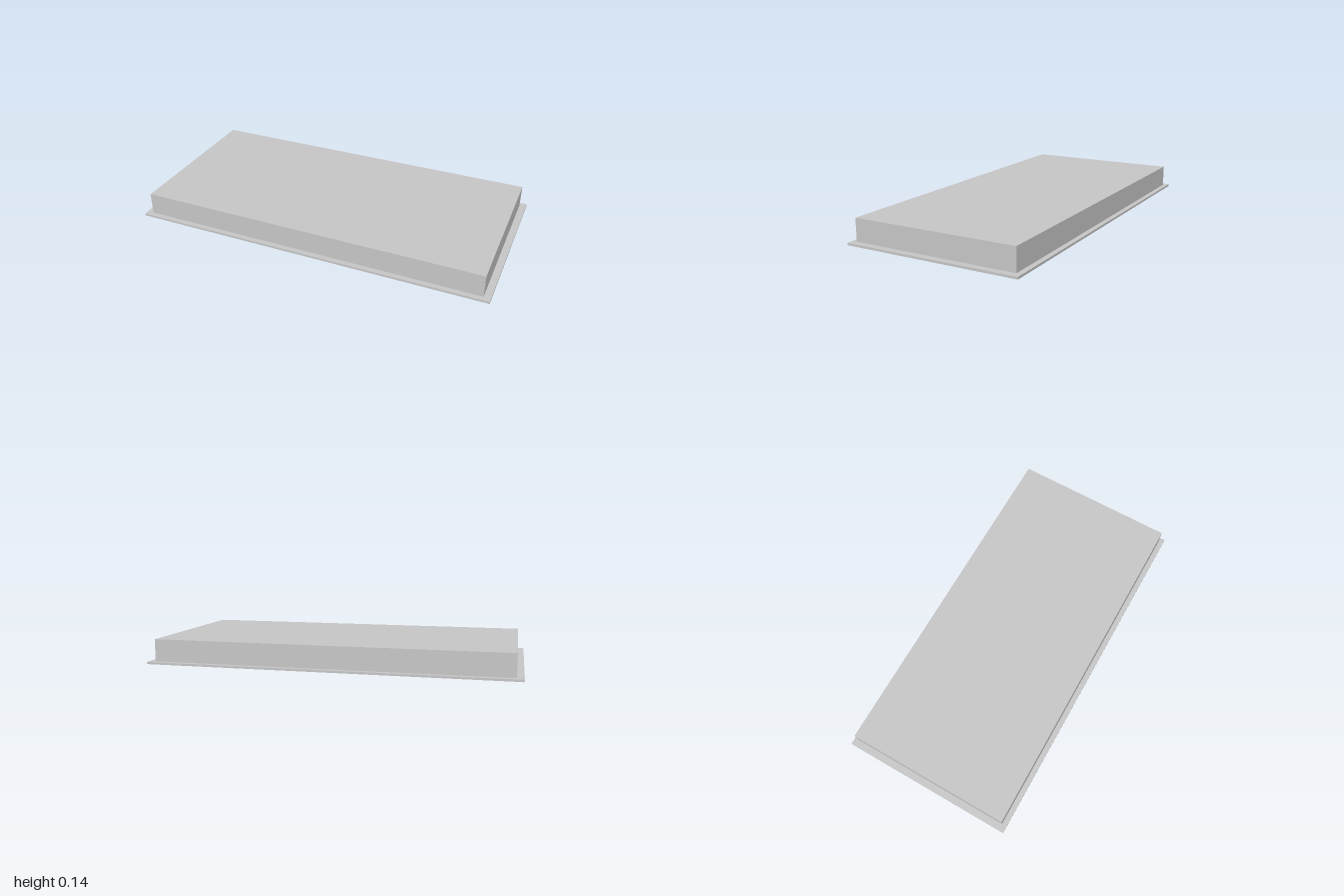
import * as THREE from 'three';

const metal = new THREE.MeshStandardMaterial({ name: 'paintedMetal', color: 0xc6c6c6 });
const inner = new THREE.MeshStandardMaterial({ name: 'reflectorMetal', color: 0xc6c6c6, side: THREE.DoubleSide });

function add(parent, name, geometry, material, x = 0, y = 0, z = 0) {
  const mesh = new THREE.Mesh(geometry, material);
  mesh.name = name;
  mesh.position.set(x, y, z);
  parent.add(mesh);
  return mesh;
}

function rectangle(Type, x0, x1, z0, z1) {
  return new Type([[x0, z0], [x1, z0], [x1, z1], [x0, z1]].map(p => new THREE.Vector2(...p)));
}

// Flat horizontal plate with rectangular openings, from y0 to y1
function plate(halfX, halfZ, holes, y0, y1) {
  const shape = rectangle(THREE.Shape, -halfX, halfX, -halfZ, halfZ);
  shape.holes = holes.map(h => rectangle(THREE.Path, ...h));
  const g = new THREE.ExtrudeGeometry(shape, { depth: y1 - y0, bevelEnabled: false });
  return g.rotateX(-Math.PI / 2).translate(0, y0, 0);
}

// Open-bottomed tray whose sides lean in towards a flat ceiling
function tray(bottom, top, y0, y1) {
  const corners = ([x, z], y) => [[-x, y, -z], [x, y, -z], [x, y, z], [-x, y, z]];
  const b = corners(bottom, y0), t = corners(top, y1);
  const points = [];
  const quad = (p, q, r, s) => points.push(...p, ...q, ...r, ...p, ...r, ...s);
  for (let i = 0; i < 4; i++) {
    const j = (i + 1) % 4;
    quad(b[i], b[j], t[j], t[i]);
  }
  quad(...t);
  const g = new THREE.BufferGeometry();
  g.setAttribute('position', new THREE.Float32BufferAttribute(points, 3));
  g.computeVertexNormals();
  return g;
}

// Lamp tube with ribbed caps, contact pins and sockets
function makeLamp() {
  const lamp = new THREE.Group();
  const rod = (r, length) => new THREE.CylinderGeometry(r, r, length, 24).rotateZ(Math.PI / 2);
  add(lamp, 'tube', rod(0.03, 1.68), metal);
  for (const side of [-1, 1]) {
    add(lamp, 'cap', rod(0.032, 0.045), metal, side * 0.845);
    for (let i = 0; i < 12; i++) {
      const a = i * Math.PI / 6;
      const rib = add(lamp, 'capRib', new THREE.BoxGeometry(0.035, 0.004, 0.005), metal,
        side * 0.845, 0.033 * Math.cos(a), 0.033 * Math.sin(a));
      rib.rotation.x = a;
    }
    for (const z of [-0.012, 0.012]) {
      add(lamp, 'pin', rod(0.004, 0.035), metal, side * 0.882, 0, z);
    }
    add(lamp, 'socket', new THREE.BoxGeometry(0.018, 0.07, 0.05), metal, side * 0.885, 0.038, 0);
  }
  return lamp;
}

export function createModel() {
  const model = new THREE.Group();
  model.name = 'recessedCeilingLight';

  // Outer housing: four walls and a roof
  add(model, 'housingWalls', plate(0.963, 0.457, [[-0.955, 0.955, -0.449, 0.449]], 0.01, 0.131), metal);
  add(model, 'housingRoof', plate(0.963, 0.457, [], 0.131, 0.135), metal);

  // Ceiling flange and the face frame set just inside it
  add(model, 'flange', plate(1, 0.485, [[-0.955, 0.955, -0.445, 0.445]], 0, 0.012), metal);
  const openings = [[-0.935, 0.935, 0.064, 0.42], [-0.935, 0.935, -0.42, -0.064]];
  add(model, 'faceFrame', plate(0.958, 0.452, openings, 0.008, 0.015), metal);

  // Two reflector bays, each with one lamp
  for (const side of [-1, 1]) {
    const bay = new THREE.Group();
    bay.name = side > 0 ? 'frontBay' : 'backBay';
    bay.position.z = side * 0.242;
    add(bay, 'reflector', tray([0.935, 0.178], [0.9, 0.09], 0.012, 0.122), inner);
    const lamp = makeLamp();
    lamp.name = 'lamp';
    lamp.position.y = 0.05;
    bay.add(lamp);
    model.add(bay);
  }
  return model;
}
